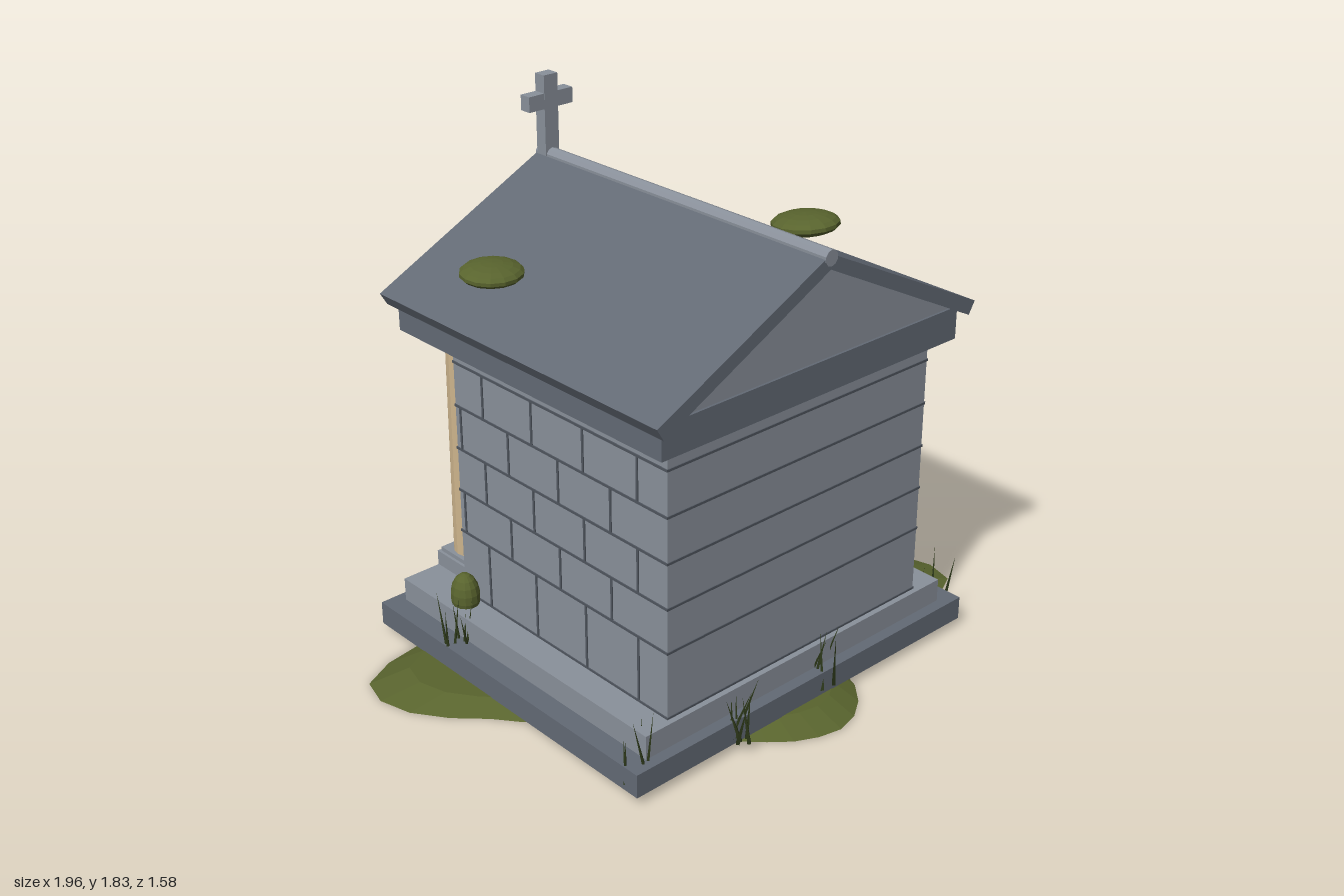
import * as THREE from 'three';

const mat = (color, flat = true) => new THREE.MeshStandardMaterial({ color, flatShading: flat });
const STONE = mat(0x8a919b), SLATE = mat(0x636a75), JOINT = mat(0x50565f);
const TAN = mat(0xcdb48c), MOSS = mat(0x59642e), IRON = mat(0x17181a), GRASS = mat(0x2b3618);

export function createModel() {
  const root = new THREE.Group();
  const group = (name) => {
    const g = new THREE.Group();
    g.name = name;
    root.add(g);
    return g;
  };
  const add = (name, geo, material, parent = root) => {
    const m = new THREE.Mesh(geo, material);
    m.name = name;
    parent.add(m);
    return m;
  };
  // Box given by its limits on each axis
  const box = (name, material, [x0, x1], [y0, y1], [z0, z1], parent) => {
    const m = add(name, new THREE.BoxGeometry(x1 - x0, y1 - y0, z1 - z0), material, parent);
    m.position.set((x0 + x1) / 2, (y0 + y1) / 2, (z0 + z1) / 2);
    return m;
  };
  // Outline in x and y, extruded between two z values
  const prism = (name, material, shape, z0, z1, parent) => {
    const geo = new THREE.ExtrudeGeometry(shape, { depth: z1 - z0, bevelEnabled: false, curveSegments: 16 });
    return add(name, geo.translate(0, 0, z0), material, parent);
  };
  const polygon = (pts) => new THREE.Shape(pts.map(([x, y]) => new THREE.Vector2(x, y)));

  // Lobed ground patch: a flat cone whose radius follows the angle, repeated every half turn
  const lobes = [[0, 0.78], [11, 0.96], [17, 1.03], [25, 1.045], [34, 0.9], [45, 0.67], [56, 0.54], [66, 0.61],
    [73, 0.7], [82, 0.77], [90, 0.79], [99, 0.77], [109, 0.71], [122, 0.64], [135, 0.62], [152, 0.62], [168, 0.67], [180, 0.78]];
  const lobeRadius = (deg) => {
    const a = ((deg % 180) + 180) % 180;
    const i = lobes.findIndex(([d]) => d > a);
    const [d0, r0] = lobes[i - 1], [d1, r1] = lobes[i];
    return r0 + (r1 - r0) * (a - d0) / (d1 - d0);
  };
  const groundGeo = new THREE.CylinderGeometry(0.87, 1, 0.035, 60).translate(0, 0.0175, 0);
  const p = groundGeo.attributes.position;
  for (let i = 0; i < p.count; i++) {
    const r = lobeRadius(THREE.MathUtils.radToDeg(Math.atan2(p.getZ(i), p.getX(i))));
    p.setX(i, p.getX(i) * r);
    p.setZ(i, p.getZ(i) * r);
  }
  add('ground', groundGeo, MOSS);

  // Stepped base
  box('lowerPlinth', SLATE, [-0.735, 0.735], [0.033, 0.115], [-0.655, 0.65]);
  box('upperPlinth', STONE, [-0.663, 0.663], [0.115, 0.197], [-0.615, 0.61]);
  box('entranceStep', STONE, [-0.28, 0.275], [0.033, 0.07], [-0.78, -0.64]);
  box('threshold', STONE, [-0.27, 0.27], [0.19, 0.206], [-0.45, -0.4]);

  // Walls with course lines and staggered joints
  box('walls', STONE, [-0.556, 0.556], [0.19, 1.12], [-0.415, 0.588]);
  const joints = group('wallJoints');
  const rows = [0.2, 0.43, 0.582, 0.735, 0.888, 1.04, 1.11];
  const g = 0.004;
  rows.slice(0, -1).forEach((y, i) => {
    const band = [y - g, y + g];
    box('frontCourse', JOINT, [-0.558, 0.558], band, [0.58, 0.591], joints);
    for (const s of [-1, 1]) {
      const side = [s * 0.5545 - 0.005, s * 0.5545 + 0.005];
      box('sideCourse', JOINT, side, band, [-0.417, 0.59], joints);
      box('cornerCourse', JOINT, s < 0 ? [-0.558, -0.47] : [0.47, 0.558], band, [-0.418, -0.41], joints);
      if (i === 5) continue;
      const first = i % 2 ? 0.34 : 0.46;
      for (let z = first; z > -0.4; z -= 0.243) {
        box('sideJoint', JOINT, side, [y, rows[i + 1]], [z - g, z + g], joints);
      }
    }
  });

  // Arched doorway: frame, dark recess and iron gate
  const door = group('doorway');
  const arch = (r, y0, Type = THREE.Shape) => {
    const s = new Type();
    s.moveTo(-r, y0);
    s.lineTo(r, y0);
    s.lineTo(r, 0.62);
    s.absarc(0, 0.62, r, 0, Math.PI, false);
    s.lineTo(-r, y0);
    return s;
  };
  const frame = arch(0.245, 0.197);
  frame.holes.push(arch(0.2, 0.198, THREE.Path));
  prism('doorFrame', STONE, frame, -0.443, -0.41, door);
  prism('doorRecess', IRON, arch(0.2, 0.2), -0.418, -0.412, door);
  for (let i = -4; i <= 4; i++) {
    const x = i * 0.042;
    const top = 0.62 + Math.sqrt(0.04 - x * x);
    const bar = add('gateBar', new THREE.CylinderGeometry(0.008, 0.008, top - 0.2, 6), IRON, door);
    bar.position.set(x, (top + 0.2) / 2, -0.426);
  }
  for (const y of [0.27, 0.45, 0.62]) box('gateRail', IRON, [-0.2, 0.2], [y - 0.01, y + 0.01], [-0.434, -0.418], door);

  // Columns beside the door
  for (const s of [-1, 1]) {
    const col = group(s > 0 ? 'leftColumn' : 'rightColumn');
    col.position.set(s * 0.435, 0, -0.532);
    add('shaft', new THREE.CylinderGeometry(0.056, 0.063, 0.78, 16), TAN, col).position.y = 0.645;
    box('base', STONE, [-0.085, 0.085], [0.195, 0.25], [-0.085, 0.085], col);
    box('baseTop', STONE, [-0.075, 0.075], [0.25, 0.265], [-0.075, 0.075], col);
    box('capitalNeck', STONE, [-0.072, 0.072], [1.025, 1.045], [-0.072, 0.072], col);
    box('capital', STONE, [-0.085, 0.085], [1.045, 1.112], [-0.085, 0.085], col);
  }

  // Entablature, gable and roof
  box('entablature', SLATE, [-0.625, 0.625], [1.11, 1.22], [-0.6, 0.64]);
  prism('gable', STONE, polygon([[-0.61, 1.21], [0.61, 1.21], [0, 1.53]]), -0.575, 0.632);
  prism('roof', SLATE, polygon([[0, 1.57], [-0.67, 1.237], [-0.645, 1.195], [0, 1.522], [0.645, 1.195], [0.67, 1.237]]), -0.632, 0.672);
  const ridge = add('ridgePole', new THREE.CylinderGeometry(0.026, 0.026, 1.308, 10), STONE);
  ridge.rotation.x = Math.PI / 2;
  ridge.position.set(0, 1.558, 0.02);
  const disc = add('gableDisc', new THREE.CylinderGeometry(0.045, 0.045, 0.025, 16), STONE);
  disc.rotation.x = Math.PI / 2;
  disc.position.set(0, 1.34, -0.58);

  // Roof cross above the entrance
  const cross = group('roofCross');
  box('upright', STONE, [-0.028, 0.028], [1.56, 1.83], [-0.622, -0.577], cross);
  box('arms', STONE, [-0.09, 0.09], [1.718, 1.77], [-0.621, -0.578], cross);

  // Moss clumps: position, radii, tilt
  const moss = group('moss');
  [
    [[-0.49, 1.365, -0.28], [0.105, 0.033, 0.1], 0.05],
    [[0.39, 1.437, 0.2], [0.11, 0.036, 0.115], -0.1],
    [[0.6, 0.225, 0.355], [0.048, 0.082, 0.052], 0],
    [[-0.6, 0.225, -0.355], [0.048, 0.082, 0.052], 0],
    [[0.5, 0.175, -0.6], [0.05, 0.05, 0.028], 0],
  ].forEach(([pos, radii, tilt]) => {
    const m = add('mossClump', new THREE.SphereGeometry(1, 14, 9), MOSS, moss);
    m.position.set(...pos);
    m.scale.set(...radii);
    m.rotation.x = tilt;
  });

  // Grass tufts: x, z, height, blade count
  let seed = 7;
  const rnd = () => (seed = (seed * 16807) % 2147483647) / 2147483647;
  const grass = group('grass');
  [
    [0.76, 0.26, 0.3, 9], [-0.33, 0.66, 0.22, 8], [0.08, 0.62, 0.24, 8], [0.7, 0.54, 0.22, 5],
    [-0.7, -0.3, 0.26, 7], [0.7, -0.37, 0.12, 5], [0.1, -0.67, 0.16, 6], [-0.69, 0.6, 0.24, 5],
  ].forEach(([x, z, height, count]) => {
    for (let i = 0; i < count; i++) {
      const h = height * (0.6 + 0.4 * rnd());
      const blade = add('blade', new THREE.ConeGeometry(0.008, h, 4).translate(0, h / 2, 0), GRASS, grass);
      blade.position.set(x + (rnd() - 0.5) * 0.08, 0.05, z + (rnd() - 0.5) * 0.08);
      blade.rotation.set((rnd() - 0.5) * 0.6, 0, (rnd() - 0.5) * 0.6);
    }
  });

  return root;
}
